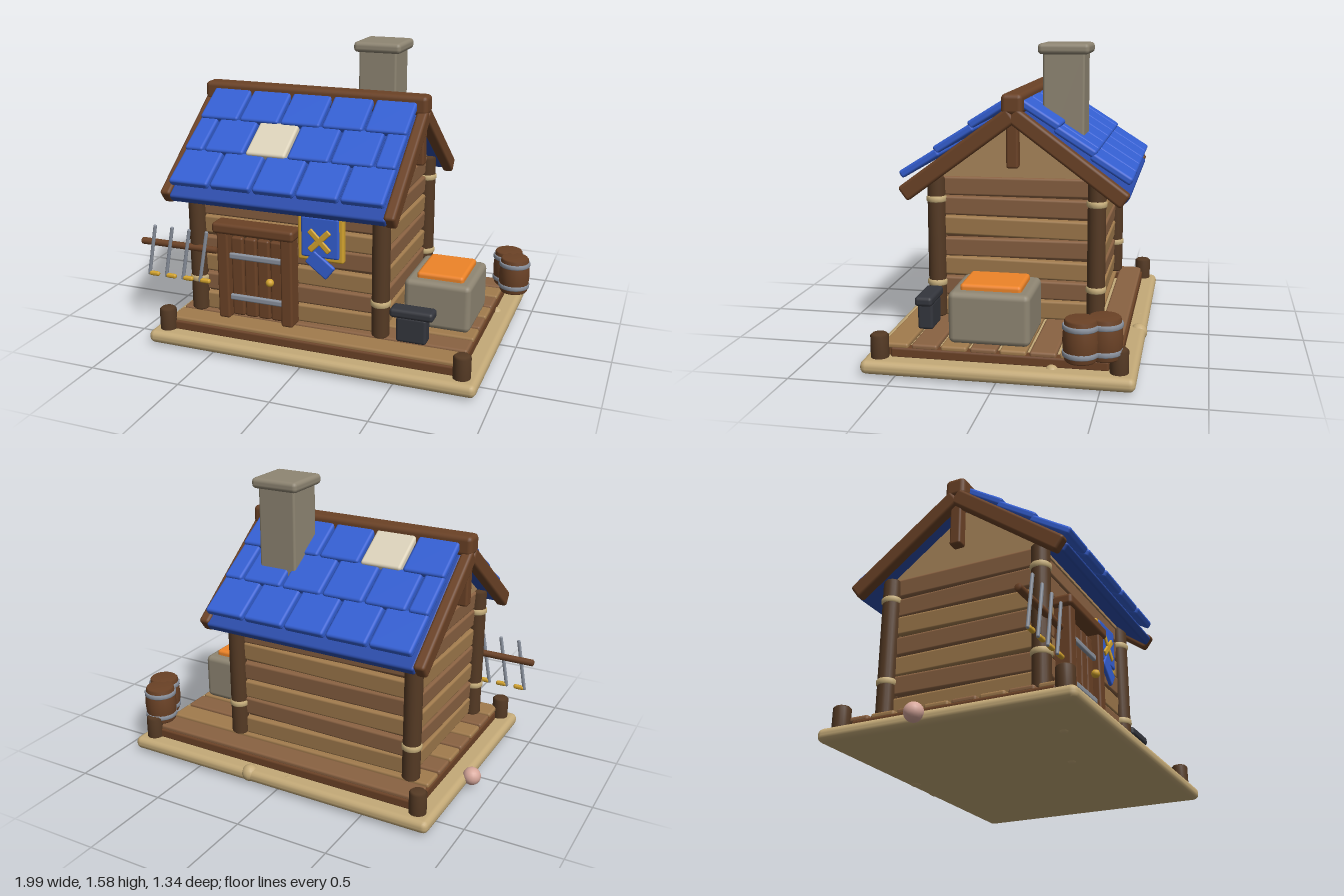
import * as THREE from 'three';
import { RoundedBoxGeometry } from 'three/addons/geometries/RoundedBoxGeometry.js';

const C = {
  sand: 0xc4aa78, wood: 0x6b4226, post: 0x553a24, plankA: 0x8a6242, plankB: 0xa17b4d, gable: 0xa9855a,
  blue: 0x345fd2, darkBlue: 0x2a4ba8, cream: 0xdcd2ba, stone: 0x8f8673, gold: 0xd3a32e, iron: 0x8b929e,
  dark: 0x34363d, ember: 0xee8428, rope: 0xc9b07c, pink: 0xd8a89c,
};
const mats = {};
const mat = (c) => (mats[c] ??= new THREE.MeshStandardMaterial({ color: c }));

export function createModel() {
  const root = new THREE.Group();
  const add = (name, geo, color, x, y, z) => {
    const m = new THREE.Mesh(geo, mat(color));
    m.name = name;
    m.position.set(x, y, z);
    root.add(m);
    return m;
  };
  // Rounded box given by its centre and size
  const box = (name, color, x, y, z, w, h, d, r = 0.012) =>
    add(name, new RoundedBoxGeometry(w, h, d, 2, Math.min(r, Math.min(w, h, d) * 0.45)), color, x, y, z);
  // Rounded box given by its x and y limits
  const panel = (name, color, x0, x1, y0, y1, z, d, r) =>
    box(name, color, (x0 + x1) / 2, (y0 + y1) / 2, z, x1 - x0, y1 - y0, d, r);
  // Upright cylinder with softened rims
  const post = (name, color, x, z, y0, y1, r, b = 0.01) => {
    const h = y1 - y0;
    const p = [[0, 0], [r - b, 0], [r, b], [r, h - b], [r - b, h], [0, h]].map((q) => new THREE.Vector2(...q));
    return add(name, new THREE.LatheGeometry(p, 18), color, x, y0, z);
  };

  // Ground slab and stones
  box('groundSlab', C.sand, 0.028, 0.045, 0, 1.795, 0.07, 1.335, 0.032);
  const stones = [[-0.055, 0.04, -0.615, 0.042], [0.17, 0.05, -0.63, 0.046], [0.835, 0.06, -0.265, 0.035],
    [-0.5, 0.03, 0.45, 0.03], [-0.06, 0.03, 0.3, 0.03]];
  for (const [x, y, z, r] of stones) add('pebble', new THREE.SphereGeometry(r, 14, 10), C.sand, x, y, z);
  add('pinkStone', new THREE.SphereGeometry(0.048, 18, 12), C.pink, -0.885, 0.065, -0.115);

  // Deck
  for (const s of [-1, 1]) {
    box('deckBeam', C.wood, 0.028, 0.1, s * 0.555, 1.56, 0.055, 0.06);
    box('deckBeam', C.wood, 0.028 + s * 0.775, 0.1, 0, 0.06, 0.055, 1.07);
    for (const x of [-0.785, 0.84]) post('deckPost', C.post, x, s * 0.585, 0.06, 0.2, 0.045);
  }
  for (let i = 0; i < 8; i++) {
    box('deckPlank', i % 2 ? C.plankB : C.plankA, 0.028, 0.133, (i - 3.5) * 0.146, 1.6, 0.03, 0.13);
  }

  // House walls of stacked planks, each tilted a little
  const cx = -0.15, pitch = 0.108;
  box('wallCore', C.post, cx, 0.53, 0, 0.98, 0.76, 0.78);
  for (let i = 0; i < 7; i++) {
    const y = 0.205 + i * pitch, color = i === 6 || i % 2 ? C.plankA : C.plankB;
    for (const s of [-1, 1]) {
      const tilt = 0.012 * Math.sin(i * 2.3 + s);
      box('sideWallPlank', color, cx + s * 0.495, y, 0, 0.05, 0.1, 0.79).rotation.set(tilt, 0, -s * 0.06);
      if (i < 6) box('longWallPlank', color, cx, y, s * 0.395, 1.0, 0.1, 0.05).rotation.set(s * 0.06, 0, tilt);
    }
  }
  for (const s of [-1, 1]) box('topWallPlank', C.plankA, cx, 0.855, s * 0.395, 1.0, 0.1, 0.05);

  // Gable ends
  const tri = new THREE.Shape([[-0.43, 0.88], [0.43, 0.88], [0.43, 0.9], [0, 1.22], [-0.43, 0.9]]
    .map((p) => new THREE.Vector2(...p)));
  const gable = add('gable', new THREE.ExtrudeGeometry(tri, { depth: 1.02, bevelEnabled: false }), C.gable, cx - 0.51, 0, 0);
  gable.rotation.y = Math.PI / 2;

  // Corner posts with rope bindings
  for (const x of [-0.67, 0.368]) for (const z of [-0.418, 0.42]) {
    post('cornerPost', C.post, x, z, 0.15, 0.9, 0.047);
    for (const y of [0.335, 0.782]) post('ropeBinding', C.rope, x, z, y - 0.018, y + 0.018, 0.053, 0.008);
  }

  // Roof: panels, barge boards and three overlapping rows of tiles per side
  const slope = 0.637, tileTilt = 0.56, x0 = -0.738, step = 0.2355;
  for (const s of [-1, 1]) {
    box('roofPanel', C.darkBlue, cx, 1.245 - 0.74 * 0.29, s * 0.29, 1.18, 0.05, 0.72).rotation.x = s * slope;
    for (const x of [-0.765, 0.457]) {
      box('bargeBoard', C.wood, x, 1.238 - 0.74 * 0.285, s * 0.285, 0.06, 0.086, 0.71, 0.016).rotation.x = s * slope;
    }
    for (let row = 0; row < 3; row++) {
      const half = row === 1, len = 0.24, t = 0.042;
      const zc = 0.607 - row * 0.182 - Math.cos(tileTilt) * len / 2 - Math.sin(tileTilt) * t / 2;
      const yc = 0.925 + row * 0.132 + Math.sin(tileTilt) * len / 2 - Math.cos(tileTilt) * t / 2;
      for (let i = 0; i < (half ? 6 : 5); i++) {
        const a = Math.max(x0, x0 + (i - (half ? 0.5 : 0)) * step);
        const b = Math.min(x0 + 5 * step, x0 + (i + (half ? 0.5 : 1)) * step);
        const pale = s > 0 ? half && i === 2 : row === 2 && i === 1;
        const tile = box('roofTile', pale ? C.cream : C.blue, (a + b) / 2, yc, s * zc, b - a - 0.014, t, len, 0.014);
        tile.rotation.x = s * tileTilt;
      }
    }
  }
  box('ridgeBeam', C.wood, -0.153, 1.288, 0, 1.28, 0.105, 0.11, 0.025);
  for (const x of [-0.745, 0.437]) box('kingPost', C.wood, x, 1.1, 0, 0.06, 0.27, 0.062);

  // Chimney
  box('chimney', C.stone, 0.156, 1.26, -0.228, 0.212, 0.55, 0.215);
  box('chimneyCap', C.stone, 0.158, 1.552, -0.228, 0.265, 0.056, 0.265, 0.022);

  // Door
  panel('doorPostLeft', C.wood, -0.155, -0.09, 0.15, 0.645, 0.455, 0.1);
  panel('doorPostRight', C.wood, -0.52, -0.455, 0.15, 0.645, 0.455, 0.1);
  panel('doorLintel', C.wood, -0.54, -0.075, 0.63, 0.69, 0.465, 0.11, 0.018);
  panel('doorBacking', C.post, -0.46, -0.15, 0.155, 0.635, 0.425, 0.04);
  for (let i = 0; i < 4; i++) {
    panel('doorPlank', C.wood, -0.453 + i * 0.075, -0.384 + i * 0.075, 0.16, 0.605, 0.45, 0.04);
  }
  for (const y of [0.268, 0.502]) panel('doorBand', C.iron, -0.46, -0.15, y - 0.017, y + 0.017, 0.475, 0.022);
  add('doorKnob', new THREE.SphereGeometry(0.022, 16, 12), C.gold, -0.215, 0.39, 0.503);

  // Hanging banner with crossed bars and a loose flap
  panel('bannerFrame', C.gold, -0.072, 0.18, 0.53, 0.775, 0.443, 0.04);
  panel('bannerCloth', C.blue, -0.05, 0.158, 0.552, 0.772, 0.458, 0.03);
  for (const s of [-1, 1]) box('crossBar', C.gold, 0.053, 0.645, 0.474, 0.155, 0.032, 0.016).rotation.z = s * Math.PI / 4;
  box('bannerFlap', C.blue, 0.055, 0.515, 0.468, 0.145, 0.085, 0.022).rotation.z = -0.65;

  // Tool rack on the front right corner
  const rail = post('toolRail', C.wood, -0.54, 0.46, 0, 0.46, 0.019, 0.006);
  rail.position.y = 0.513;
  rail.rotation.z = Math.PI / 2;
  for (let i = 0; i < 4; i++) {
    const x = -0.925 + i * 0.104;
    box('toolBlade', C.iron, x, 0.475, 0.484, 0.019, 0.3, 0.016).rotation.z = -0.18;
    box('toolGrip', C.gold, x + 0.006, 0.338, 0.484, 0.062, 0.025, 0.024);
  }

  // Forge and anvil
  panel('forge', C.stone, 0.438, 0.795, 0.15, 0.41, 0.053, 0.405, 0.03);
  panel('embers', C.ember, 0.493, 0.745, 0.385, 0.44, 0.053, 0.305, 0.018);
  panel('anvilBase', C.dark, 0.46, 0.62, 0.15, 0.29, 0.42, 0.08, 0.015);
  panel('anvilTop', C.dark, 0.425, 0.655, 0.28, 0.33, 0.42, 0.092, 0.018);

  // Barrels
  const stave = [[0, 0], [0.072, 0], [0.078, 0.008], [0.084, 0.06], [0.087, 0.1], [0.084, 0.14], [0.078, 0.195], [0.072, 0.203], [0, 0.203]]
    .map((p) => new THREE.Vector2(...p));
  for (const [x, z] of [[0.845, -0.515], [0.9, -0.41]]) {
    add('barrel', new THREE.LatheGeometry(stave, 20), C.wood, x, 0.152, z);
    for (const y of [0.19, 0.318]) post('barrelHoop', C.iron, x, z, y - 0.013, y + 0.013, 0.088, 0.005);
  }
  return root;
}
